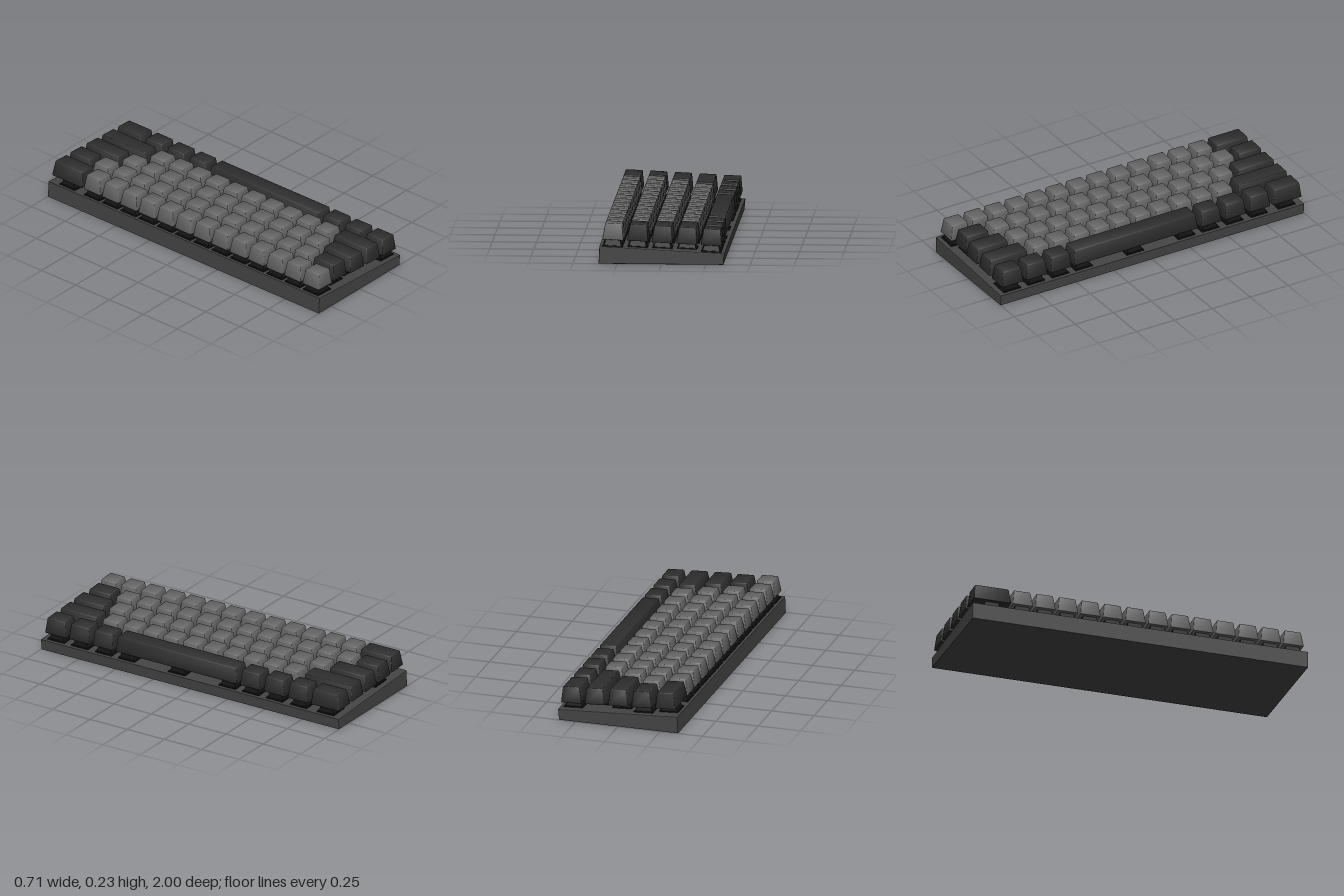
import * as THREE from 'three';
import { mergeVertices, toCreasedNormals } from 'three/addons/utils/BufferGeometryUtils.js';
import { RoundedBoxGeometry } from 'three/addons/geometries/RoundedBoxGeometry.js';

const material = (color) => new THREE.MeshStandardMaterial({ color });
const caseMat = material(0x444444);
const letterMat = material(0x666666);
const modifierMat = material(0x2e2e2e);
const switchMat = material(0x141414);

const TILT = -0.049;      // slope of the typing plane
const CAP_WIDTH = 0.12;
const CAP_HEIGHT = 0.093;
const CAP_LIFT = 0.039;   // gap between plate and cap
const CAP_INSET = 0.0125; // taper on each side
const PITCH = 0.1345;
const ROW_PITCH = 0.139;

// Each row: wide keys as [centre z, length], and a run of letter keys
const rows = [
  { wide: [[-0.875, 0.224]], start: 0.92, count: 13 },
  { wide: [[0.889, 0.165], [-0.908, 0.167]], start: 0.727, count: 12 },
  { wide: [[0.873, 0.219], [-0.864, 0.255]], start: 0.684, count: 11 },
  { wide: [[0.851, 0.262], [-0.825, 0.334]], start: 0.637, count: 10 },
  {
    wide: [[0.912, 0.14], [0.753, 0.14], [0.594, 0.14], [0.101, 0.817],
      [-0.395, 0.138], [-0.555, 0.14], [-0.716, 0.14], [-0.897, 0.19]],
    start: 0, count: 0,
  },
];

// Softly rounded block narrowing towards the top
function capGeometry(length) {
  let geo = new RoundedBoxGeometry(CAP_WIDTH, CAP_HEIGHT, length, 2, 0.005);
  const p = geo.attributes.position;
  for (let i = 0; i < p.count; i++) {
    const t = p.getY(i) / CAP_HEIGHT + 0.5;
    p.setX(i, p.getX(i) * (1 - (2 * CAP_INSET * t) / CAP_WIDTH));
    p.setZ(i, p.getZ(i) * (1 - (2 * CAP_INSET * t) / length));
  }
  geo.deleteAttribute('normal');
  geo.deleteAttribute('uv');
  geo = mergeVertices(geo, 1e-5);
  geo = toCreasedNormals(geo, 0.7);
  return geo.translate(0, CAP_LIFT + CAP_HEIGHT / 2, 0);
}

// Four-sided tapered switch housing and its flange
const housingGeo = new THREE.CylinderGeometry(0.072 * Math.SQRT1_2, 0.1 * Math.SQRT1_2, 0.05, 4, 1);
housingGeo.rotateY(Math.PI / 4);
const housing = toCreasedNormals(housingGeo, 0.3).translate(0, 0.025, 0);
const flange = new THREE.BoxGeometry(0.113, 0.008, 0.113).translate(0, 0.002, 0);

function addMesh(parent, name, geo, mat, x = 0, z = 0) {
  const mesh = new THREE.Mesh(geo, mat);
  mesh.name = name;
  mesh.position.set(x, 0, z);
  parent.add(mesh);
}

function addSwitch(parent, x, z) {
  const group = new THREE.Group();
  group.name = 'keySwitch';
  group.position.set(x, 0, z);
  addMesh(group, 'switchHousing', housing, switchMat);
  addMesh(group, 'switchFlange', flange, switchMat);
  parent.add(group);
}

// Wedge-shaped case, extruded along its length with a small bevel
function caseGeometry() {
  const b = 0.004;
  const s = new THREE.Shape();
  s.moveTo(-0.355 + b, b);
  s.lineTo(0.349 - b, b);
  s.lineTo(0.354 - b, 0.063 - b);
  s.lineTo(-0.351 + b, 0.0975 - b);
  s.closePath();
  const geo = new THREE.ExtrudeGeometry(s, {
    depth: 2 - 2 * b, bevelEnabled: true, bevelSize: b, bevelThickness: b, bevelSegments: 2,
  });
  return geo.translate(0, 0, -1 + b);
}

export function createModel() {
  const model = new THREE.Group();
  model.name = 'keyboard';
  addMesh(model, 'case', caseGeometry(), caseMat);

  // Keys stand on the tilted plate
  const keys = new THREE.Group();
  keys.name = 'keys';
  keys.position.y = 0.08;
  keys.rotation.z = TILT;
  model.add(keys);

  const letterCap = capGeometry(0.122);
  rows.forEach((row, r) => {
    const x = (r - 2) * ROW_PITCH;
    for (let i = 0; i < row.count; i++) {
      const z = row.start - i * PITCH;
      addMesh(keys, 'letterKeycap', letterCap, letterMat, x, z);
      addSwitch(keys, x, z);
    }
    for (const [z, length] of row.wide) {
      const isBar = length > 0.5;
      addMesh(keys, isBar ? 'spaceBar' : 'modifierKeycap', capGeometry(length), modifierMat, x, z);
      addSwitch(keys, x, z);
      // The long bar also rests on a support near each end
      if (isBar) for (const side of [-1, 1]) addSwitch(keys, x, z + side * (length / 2 - 0.07));
    }
  });
  return model;
}
